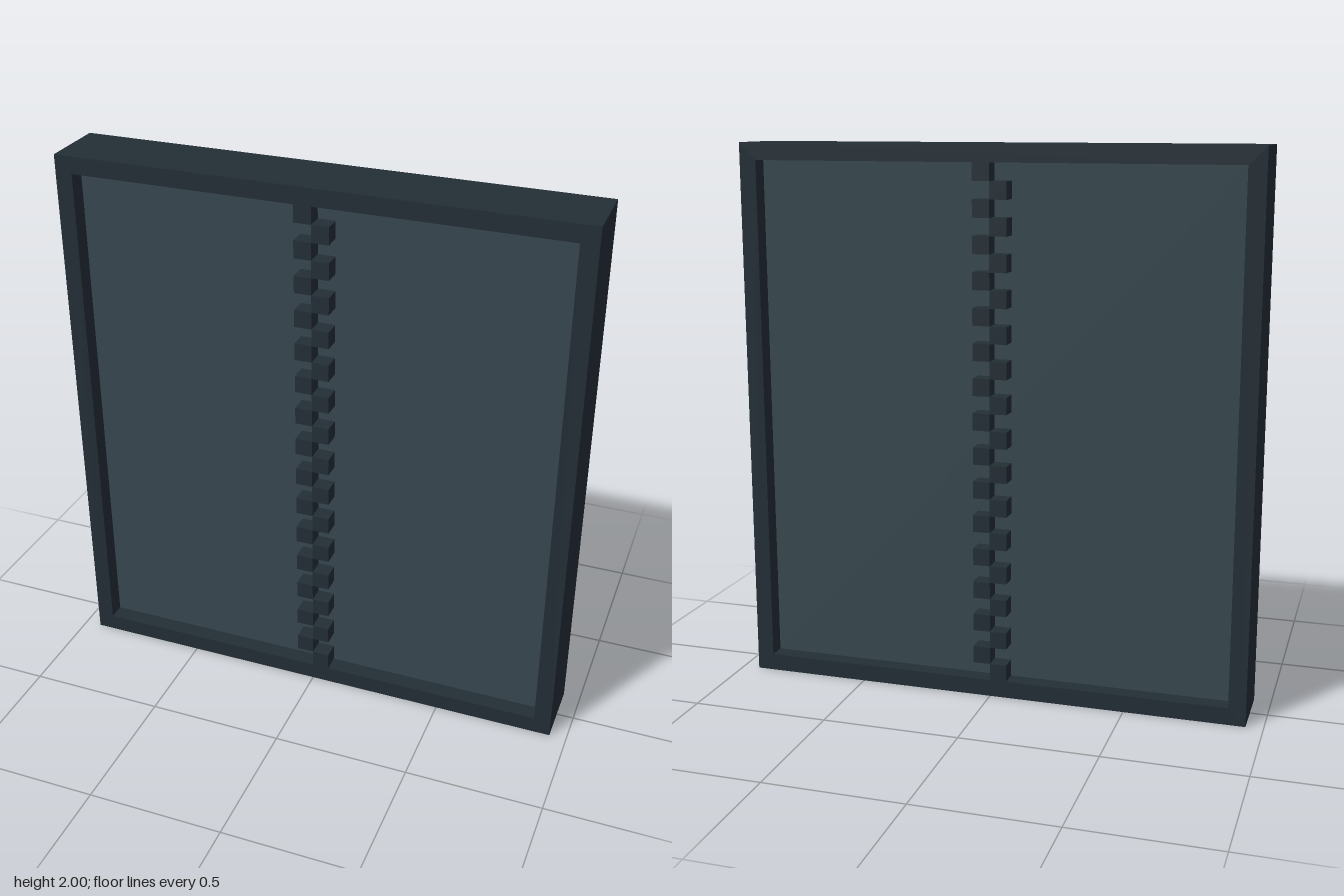
import * as THREE from 'three';

const U = 0.0625; // one grid unit: frame thickness, recess depth and tooth size
const W = 30 * U, H = 32 * U, D = 4 * U;

export function createModel() {
  const frameMat = new THREE.MeshStandardMaterial({ color: 0x232e36 });
  frameMat.name = 'dark slate';
  const panelMat = new THREE.MeshStandardMaterial({ color: 0x37474f });
  panelMat.name = 'slate';

  const model = new THREE.Group();
  model.name = 'door';

  const add = (parent, name, geometry, material, x, y, z) => {
    const mesh = new THREE.Mesh(geometry, material);
    mesh.name = name;
    mesh.position.set(x, y, z);
    parent.add(mesh);
  };

  // Rectangular frame with one large opening
  const rect = (Type, w, h) => new Type([
    new THREE.Vector2(-w / 2, -h / 2), new THREE.Vector2(w / 2, -h / 2),
    new THREE.Vector2(w / 2, h / 2), new THREE.Vector2(-w / 2, h / 2),
  ]);
  const outline = rect(THREE.Shape, W, H);
  outline.holes.push(rect(THREE.Path, W - 2 * U, H - 2 * U));
  const frame = new THREE.ExtrudeGeometry(outline, { depth: D, bevelEnabled: false });
  add(model, 'frame', frame, frameMat, 0, H / 2, -D / 2);

  // Panel recessed by one unit on both faces
  add(model, 'panel', new THREE.BoxGeometry(W - 2 * U, H - 2 * U, D - 2 * U), panelMat, 0, H / 2, 0);

  // Interlocking teeth along the centre seam; the back repeats the front turned half round
  const tooth = new THREE.BoxGeometry(U, U, U);
  for (const [name, turn] of [['frontTeeth', 0], ['backTeeth', Math.PI]]) {
    const seam = new THREE.Group();
    seam.name = name;
    seam.rotation.y = turn;
    for (let i = 0; i < 30; i++) {
      const side = i % 2 ? -1 : 1;
      add(seam, 'tooth', tooth, frameMat, side * U / 2, (i + 1.5) * U, D / 2 - U / 2);
    }
    model.add(seam);
  }
  return model;
}
